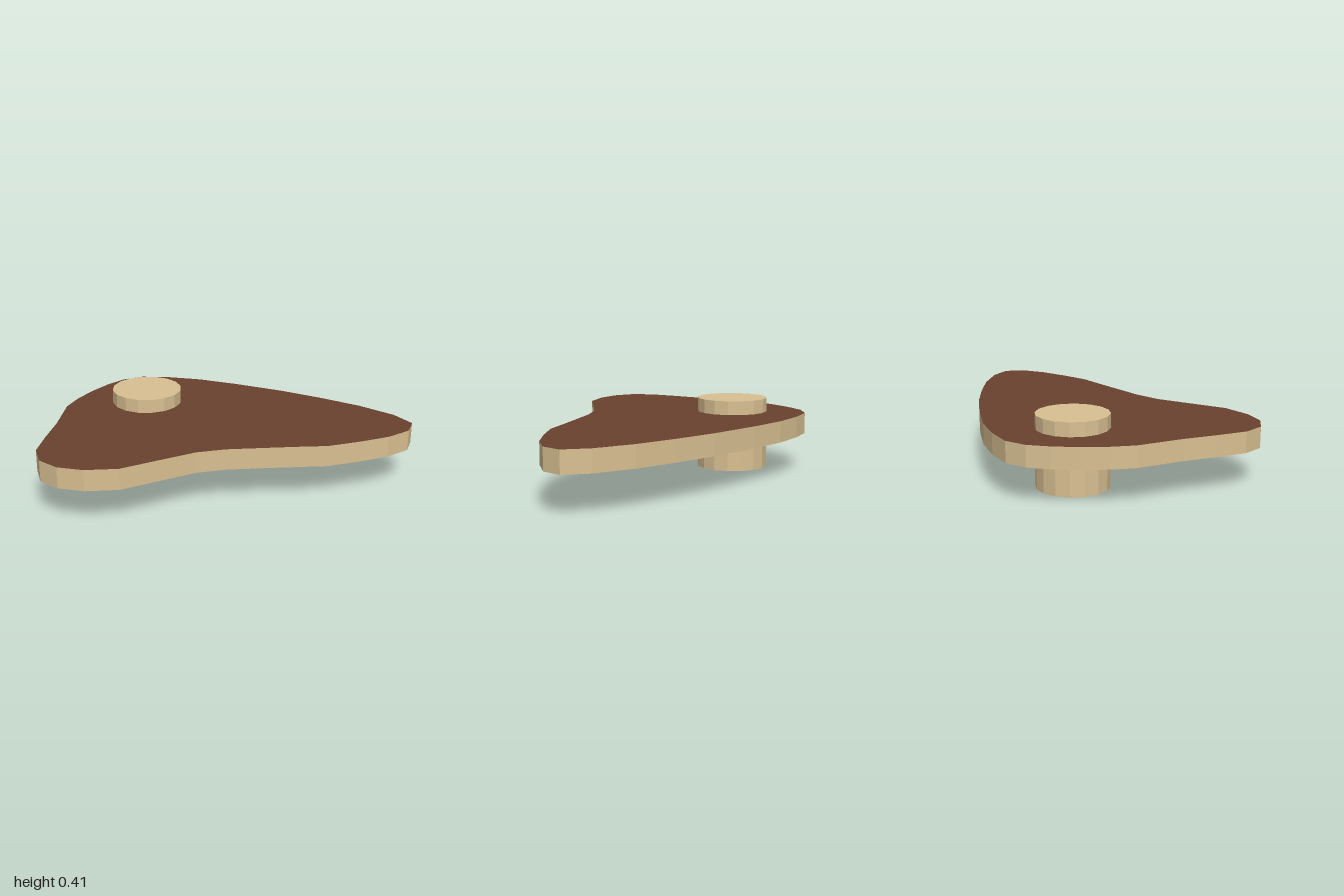
import * as THREE from 'three';

export function createModel() {
  const model = new THREE.Group();
  model.name = 'pedalBoard';

  const brown = new THREE.MeshStandardMaterial({ color: 0x6b422f });
  brown.name = 'dark wood';
  const tan = new THREE.MeshStandardMaterial({ color: 0xd9c092 });
  tan.name = 'pale wood';

  // Rounded three-cornered slab: outline as [x, z], brown faces and pale rim
  const outline = [
    [-0.03, -0.81], [0.1, -0.79], [0.24, -0.69], [0.385, -0.545], [0.53, -0.35],
    [0.7, -0.09], [0.82, 0.13], [0.93, 0.36], [1, 0.58], [1, 0.73],
    [0.905, 0.8], [0.75, 0.805], [0.57, 0.77], [0.385, 0.72], [0.25, 0.645],
    [0.1, 0.565], [-0.1, 0.46], [-0.26, 0.405], [-0.48, 0.385], [-0.7, 0.365],
    [-0.86, 0.28], [-0.96, 0.175], [-1, 0.05], [-0.96, -0.08], [-0.84, -0.22],
    [-0.71, -0.36], [-0.54, -0.575], [-0.43, -0.655], [-0.3, -0.725], [-0.16, -0.78],
  ];
  const shape = new THREE.Shape(outline.map(([x, z]) => new THREE.Vector2(x, -z)));
  const slabGeometry = new THREE.ExtrudeGeometry(shape, { depth: 0.12, bevelEnabled: false });
  slabGeometry.rotateX(-Math.PI / 2);
  const slab = new THREE.Mesh(slabGeometry, [brown, tan]);
  slab.name = 'slab';
  slab.position.y = 0.21;
  model.add(slab);

  // Faceted peg passing through the slab
  const pegGeometry = new THREE.CylinderGeometry(0.206, 0.206, 0.41, 16).toNonIndexed();
  pegGeometry.computeVertexNormals();
  const peg = new THREE.Mesh(pegGeometry, tan);
  peg.name = 'peg';
  peg.position.set(-0.09, 0.205, -0.4);
  model.add(peg);

  return model;
}
